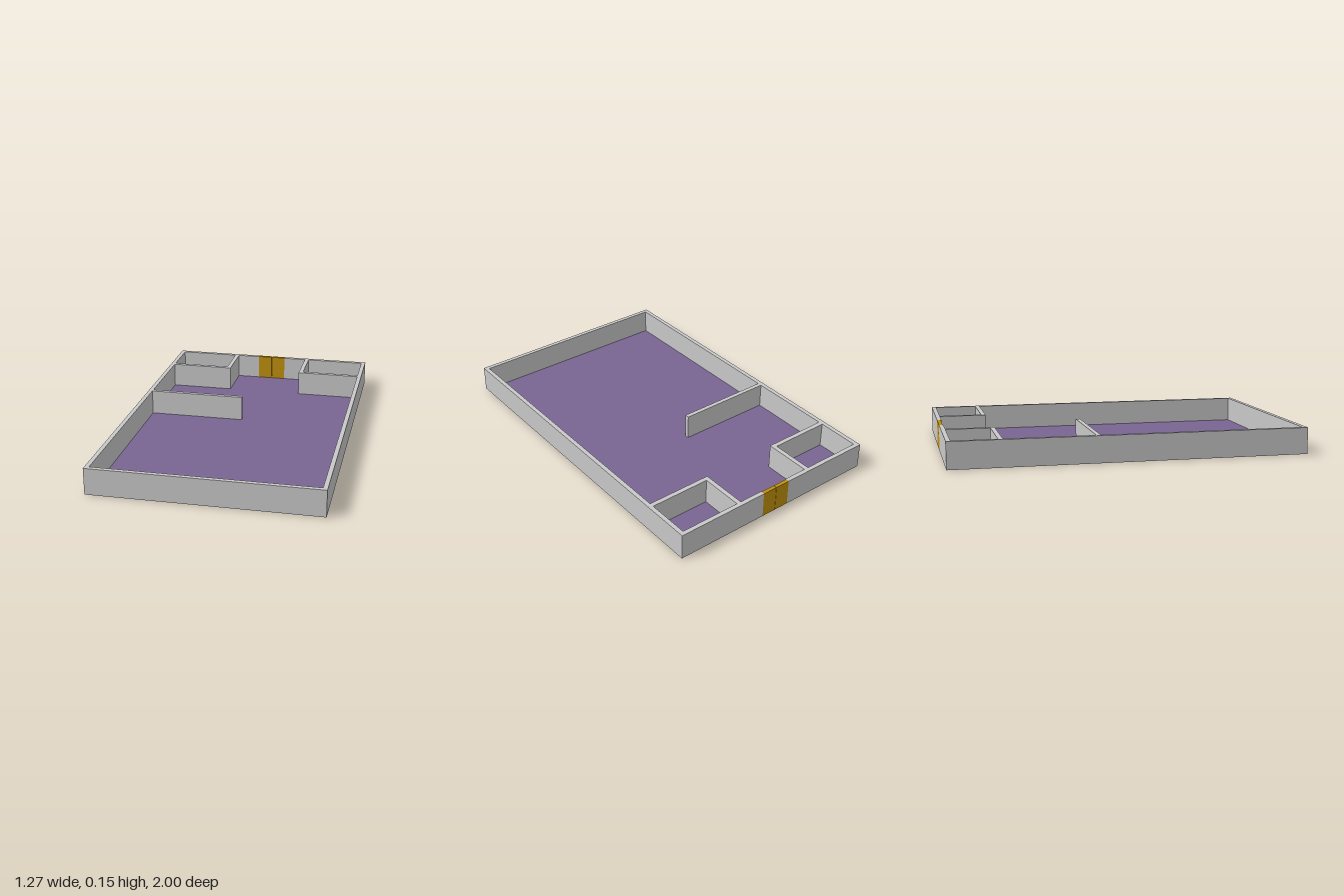
import * as THREE from 'three';

export function createModel() {
  const model = new THREE.Group();
  model.name = 'floorPlan';

  const material = (name, color) => {
    const m = new THREE.MeshStandardMaterial({ color });
    m.name = name;
    return m;
  };
  const wallGrey = material('wallGrey', 0xc8c8c8);
  const floorPurple = material('floorPurple', 0x786592);
  const doorGold = material('doorGold', 0xc0900c);

  const H = 0.15; // wall height
  const T = 0.025; // wall thickness
  const X = 0.635; // half width
  const Z = 1; // half length

  // Upright block spanning x0..x1 and z0..z1
  const block = (name, x0, x1, z0, z1, mat = wallGrey, y0 = 0, y1 = H) => {
    const mesh = new THREE.Mesh(new THREE.BoxGeometry(x1 - x0, y1 - y0, z1 - z0), mat);
    mesh.position.set((x0 + x1) / 2, (y0 + y1) / 2, (z0 + z1) / 2);
    mesh.name = name;
    model.add(mesh);
  };

  // Floor slab between the outer walls, a hair above the wall bottoms
  block('floor', -X + T, X - T, -Z + T, Z - T, floorPurple, 0.001, 0.004);

  // Outer walls, with an opening for the doors at the back
  const door = 0.088;
  block('frontWall', -X + T, X - T, Z - T, Z);
  for (const [side, s] of [['right', -1], ['left', 1]]) {
    const span = (a, b) => (s > 0 ? [a, b] : [-b, -a]);
    block(side + 'OuterWall', ...span(X - T, X), -Z, Z);
    block(side + 'BackWall', ...span(door, X - T), -Z, -Z + T);

    // Corner room: one wall along z, one along x
    block(side + 'RoomSideWall', ...span(0.228, 0.254), -Z + T, -0.702);
    block(side + 'RoomFrontWall', ...span(0.254, X - T), -0.728, -0.702);

    // Door leaf
    block(side + 'DoorLeaf', ...span(0.001, door), -Z, -Z + 0.021, doorGold);
  }

  // Free-standing partition reaching in from the right wall
  block('partition', -X + T, -0.042, -0.203, -0.178);

  return model;
}
